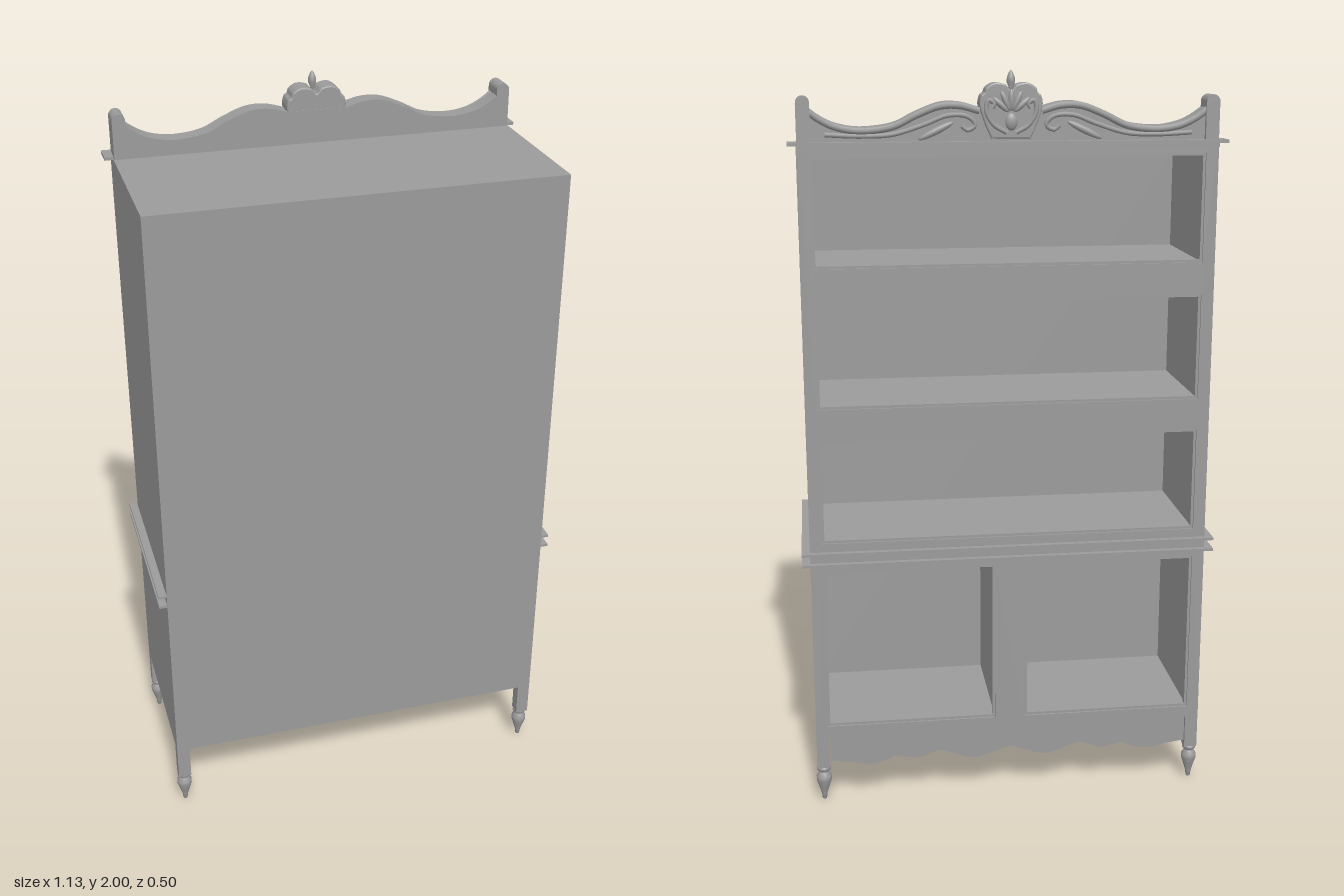
import * as THREE from 'three';

const FRONT = -0.235, REAR = 0.25, INNER = 0.125; // open side faces -z
const W = 0.543; // half width of the carcass

export function createModel() {
  const root = new THREE.Group();
  const mat = new THREE.MeshStandardMaterial({ color: 0x9b9b9b });

  const add = (name, geo, x = 0, y = 0, z = 0) => {
    const m = new THREE.Mesh(geo, mat);
    m.name = name;
    m.position.set(x, y, z);
    root.add(m);
    return m;
  };
  const box = (name, x0, x1, y0, y1, z0, z1) =>
    add(name, new THREE.BoxGeometry(x1 - x0, y1 - y0, z1 - z0), (x0 + x1) / 2, (y0 + y1) / 2, (z0 + z1) / 2);
  const extrude = (name, shape, z0, z1, bevel = 0) =>
    add(name, new THREE.ExtrudeGeometry(shape, {
      depth: z1 - z0 - 2 * bevel, curveSegments: 48, bevelEnabled: bevel > 0,
      bevelThickness: bevel, bevelSize: bevel, bevelOffset: -bevel, bevelSegments: 2,
    }), 0, 0, z0 + bevel);
  const rect = (P, x0, x1, y0, y1) => {
    const p = new P();
    p.moveTo(x0, y0); p.lineTo(x1, y0); p.lineTo(x1, y1); p.lineTo(x0, y1); p.closePath();
    return p;
  };
  const v2 = (pts) => pts.map(([x, y]) => new THREE.Vector2(x, y));
  const bead = (name, pts, z, r) => add(name, new THREE.TubeGeometry(
    new THREE.CatmullRomCurve3(pts.map(([x, y]) => new THREE.Vector3(x, y, z))), 48, r, 8));
  const ball = (name, x, y, z, sx, sy, sz, turn = 0) => {
    const m = add(name, new THREE.SphereGeometry(1, 16, 12), x, y, z);
    m.scale.set(sx, sy, sz);
    m.rotation.z = turn;
  };

  // Carcass: front block pierced by the compartments, closed by a rear block
  const openings = [
    [-0.51, 0.51, 1.505, 1.79], [-0.51, 0.51, 1.135, 1.42], [-0.51, 0.51, 0.765, 1.05],
    [-0.51, -0.042, 0.23, 0.685], [0.042, 0.51, 0.23, 0.685],
  ];
  const face = rect(THREE.Shape, -W, W, 0.2, 1.82);
  openings.forEach((o) => face.holes.push(rect(THREE.Path, ...o)));
  extrude('compartmentBody', face, FRONT, INNER);
  box('rearBody', -W, W, 0.2, 1.82, INNER, REAR);

  // Slim stepped lip set just inside each compartment
  for (const [x0, x1, y0, y1] of openings) {
    const lip = rect(THREE.Shape, x0, x1, y0, y1);
    lip.holes.push(rect(THREE.Path, x0 + 0.007, x1 - 0.007, y0 + 0.007, y1 - 0.007));
    extrude('openingLip', lip, FRONT + 0.005, FRONT + 0.02);
  }

  // Waist mouldings and short cornice
  for (const y of [0.707, 0.738]) box('waistMoulding', -0.565, 0.565, y - 0.0035, y + 0.0035, -0.25, 0.248);
  box('cornice', -0.565, 0.565, 1.816, 1.824, -0.253, -0.19);
  box('corniceBed', -W, W, 1.805, 1.817, -0.243, -0.22);

  // Legs: square block on a turned, pointed foot
  const foot = v2([[0, 0], [0.006, 0.004], [0.008, 0.02], [0.014, 0.04], [0.021, 0.062], [0.021, 0.074],
    [0.014, 0.086], [0.012, 0.09], [0.019, 0.094], [0.019, 0.102], [0.012, 0.106], [0, 0.106]]);
  for (const x of [-0.525, 0.525]) for (const z of [-0.217, 0.233]) {
    box('legBlock', x - 0.018, x + 0.018, 0.102, 0.202, z - 0.0165, z + 0.0165);
    add('turnedFoot', new THREE.LatheGeometry(foot, 20), x, 0, Math.min(z, 0.229));
  }

  // Scalloped apron under the open side
  const half = [[0.05, 0.122], [0.09, 0.109], [0.13, 0.114], [0.2, 0.136], [0.26, 0.118],
    [0.32, 0.128], [0.35, 0.116], [0.4, 0.107], [0.45, 0.117], [0.505, 0.124]];
  const wave = [...half.map(([x, y]) => [-x, y]).reverse(), [0, 0.136], ...half];
  const apron = new THREE.Shape();
  apron.moveTo(-0.505, 0.202);
  apron.lineTo(-0.505, 0.124);
  apron.splineThru(v2(wave.slice(1)));
  apron.lineTo(0.505, 0.202);
  extrude('apron', apron, -0.232, -0.212);

  // Crest board with sweeping top edge
  const sweep = [[0.08, 1.908], [0.13, 1.921], [0.18, 1.92], [0.24, 1.898], [0.3, 1.87],
    [0.38, 1.86], [0.44, 1.869], [0.48, 1.887], [0.515, 1.912]];
  const crest = new THREE.Shape();
  crest.moveTo(-0.515, 1.819);
  crest.lineTo(0.515, 1.819);
  crest.lineTo(0.515, 1.912);
  crest.splineThru(v2(sweep.slice(0, -1).reverse()));
  crest.lineTo(-0.08, 1.908);
  crest.splineThru(v2(sweep.slice(1).map(([x, y]) => [-x, y])));
  crest.closePath();
  extrude('crestBoard', crest, -0.226, -0.176);

  // Crest end posts, edge beads and scrolls, mirrored
  for (const s of [-1, 1]) {
    const m = (pts) => pts.map(([x, y]) => [s * x, y]);
    box('crestPost', s * 0.5235 - 0.0175, s * 0.5235 + 0.0175, 1.819, 1.918, -0.238, -0.176);
    const cap = add('crestPostCap', new THREE.CylinderGeometry(0.0175, 0.0175, 0.062, 20), s * 0.5235, 1.92, -0.207);
    cap.rotation.x = Math.PI / 2;
    bead('crestEdgeBead', m(sweep.map(([x, y]) => [x, y - 0.009])), -0.227, 0.009);
    bead('crestScroll', m([[0.47, 1.842], [0.38, 1.838], [0.3, 1.842], [0.22, 1.866], [0.16, 1.888],
      [0.11, 1.885], [0.09, 1.865], [0.11, 1.851], [0.125, 1.862]]), -0.227, 0.006);
    ball('scrollLeaf', s * 0.19, 1.85, -0.227, 0.05, 0.009, 0.008, -s * 0.45);
  }

  // Lobed centre ornament
  const lobes = new THREE.Shape();
  lobes.moveTo(-0.05, 1.83);
  lobes.lineTo(0.05, 1.83);
  lobes.splineThru(v2([[0.068, 1.87], [0.08, 1.91], [0.077, 1.935], [0.068, 1.944], [0.062, 1.957],
    [0.042, 1.968], [0.015, 1.964], [0, 1.95], [-0.015, 1.964], [-0.042, 1.968], [-0.062, 1.957],
    [-0.068, 1.944], [-0.077, 1.935], [-0.08, 1.91], [-0.068, 1.87], [-0.05, 1.83]]));
  extrude('crestOrnament', lobes, -0.238, -0.178, 0.004);

  // Carved fan, side curls, boss and finial on the ornament
  for (let i = -2; i <= 2; i++) {
    const a = i * 0.42;
    ball('fanPetal', Math.sin(a) * 0.036, 1.89 + Math.cos(a) * 0.036, -0.237, 0.008, 0.027, 0.008, -a);
  }
  for (const s of [-1, 1]) {
    bead('ornamentCurl', [[s * 0.012, 1.845], [s * 0.045, 1.865], [s * 0.064, 1.9], [s * 0.058, 1.925],
      [s * 0.044, 1.917], [s * 0.05, 1.905]], -0.238, 0.006);
  }
  ball('fanBoss', 0, 1.872, -0.237, 0.016, 0.022, 0.01);
  const finial = v2([[0, 0], [0.006, 0.002], [0.006, 0.018], [0.011, 0.03], [0.01, 0.042], [0.005, 0.054], [0, 0.06]]);
  add('finial', new THREE.LatheGeometry(finial, 16), 0, 1.94, -0.225);

  return root;
}
